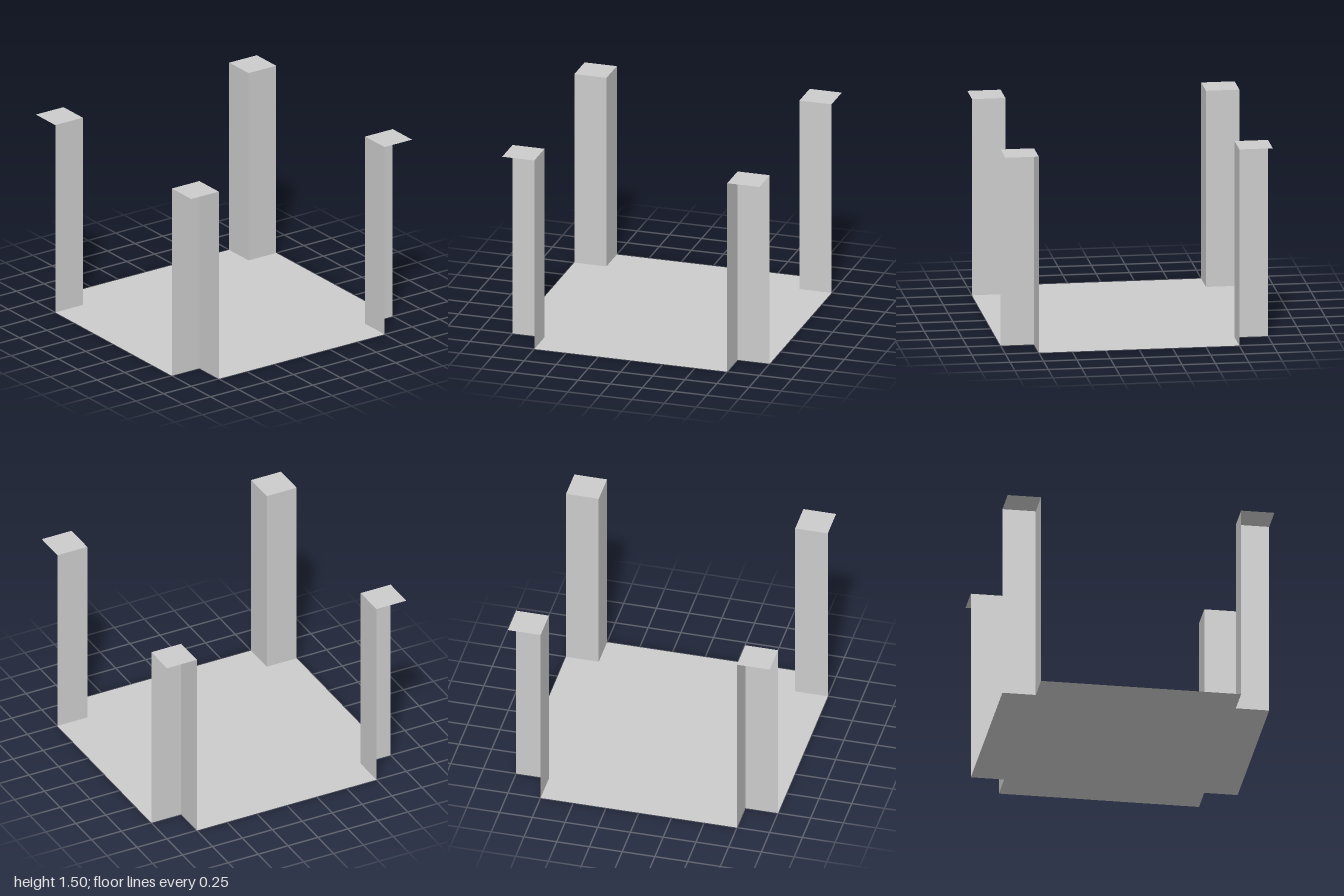
import * as THREE from 'three';

const HALF = 1;      // half the width of the whole model
const INNER = 0.75;  // distance from the centre to the corner walls
const HEIGHT = 1.5;
const SIZE = HALF - INNER;
const MID = (HALF + INNER) / 2;

export function createModel() {
  const model = new THREE.Group();
  model.name = 'openCourt';
  const material = new THREE.MeshStandardMaterial({
    color: 0xcccccc, flatShading: true, side: THREE.DoubleSide,
  });

  const add = (parent, name, geometry, x = 0, y = 0, z = 0) => {
    const mesh = new THREE.Mesh(geometry, material);
    mesh.name = name;
    mesh.position.set(x, y, z);
    parent.add(mesh);
  };

  // Floor: a square sheet with its four corners notched out
  const outline = new THREE.Shape([
    [-INNER, -HALF], [INNER, -HALF], [INNER, -INNER], [HALF, -INNER],
    [HALF, INNER], [INNER, INNER], [INNER, HALF], [-INNER, HALF],
    [-INNER, INNER], [-HALF, INNER], [-HALF, -INNER], [-INNER, -INNER],
  ].map(([x, y]) => new THREE.Vector2(x, y)));
  add(model, 'floor', new THREE.ShapeGeometry(outline).rotateX(-Math.PI / 2));

  // Corner posts: two inward-facing walls and a raised top, open on the outside
  for (const sx of [-1, 1]) {
    for (const sz of [-1, 1]) {
      const post = new THREE.Group();
      post.name = `${sz > 0 ? 'front' : 'back'}${sx > 0 ? 'Left' : 'Right'}Post`;
      const wall = () => new THREE.PlaneGeometry(SIZE, HEIGHT);
      add(post, 'wallAcross', wall().rotateY(sz > 0 ? Math.PI : 0),
        sx * MID, HEIGHT / 2, sz * INNER);
      add(post, 'wallAlong', wall().rotateY(-sx * Math.PI / 2),
        sx * INNER, HEIGHT / 2, sz * MID);
      add(post, 'postTop', new THREE.PlaneGeometry(SIZE, SIZE).rotateX(-Math.PI / 2),
        sx * MID, HEIGHT, sz * MID);
      model.add(post);
    }
  }
  return model;
}
